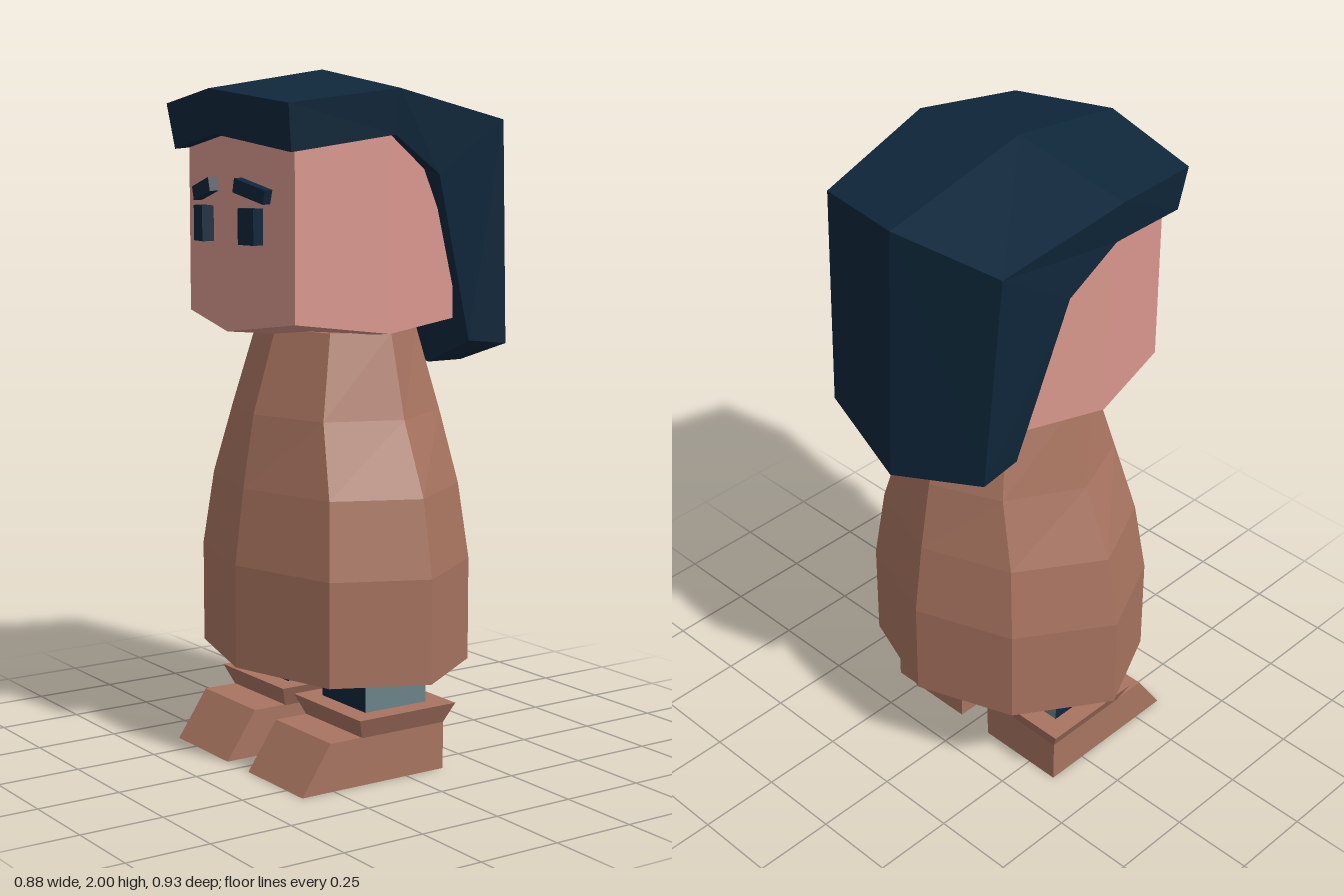
import * as THREE from 'three';

const mat = (name, color, extra = {}) => {
  const m = new THREE.MeshStandardMaterial({ color, ...extra });
  m.name = name;
  return m;
};

// Flat-shaded geometry from polygons of [x, y, z] points, each fanned into triangles
function facets(polys) {
  const pos = [];
  for (const p of polys)
    for (let i = 1; i < p.length - 1; i++) pos.push(...p[0], ...p[i], ...p[i + 1]);
  const g = new THREE.BufferGeometry();
  g.setAttribute('position', new THREE.Float32BufferAttribute(pos, 3));
  g.computeVertexNormals();
  return g;
}

// Closed ring from a half outline running from -x to +x on the +z side
function ring(half) {
  const back = half.filter((p) => p[2] > 0).map(([x, y, z]) => [x, y, -z]).reverse();
  return [...half, ...back];
}

// Skin stacked rings and cap both ends around centre points
function loft(rings, bottom, top) {
  const polys = [], n = rings[0].length, last = rings[rings.length - 1];
  for (let i = 0; i < n; i++) {
    const j = (i + 1) % n;
    for (let k = 0; k + 1 < rings.length; k++)
      polys.push([rings[k][i], rings[k][j], rings[k + 1][j], rings[k + 1][i]]);
    polys.push([bottom, rings[0][j], rings[0][i]], [top, last[i], last[j]]);
  }
  return facets(polys);
}

// Mirror polygons of the +z half across z = 0
const mirrored = (polys) => [
  ...polys,
  ...polys.map((p) => p.map(([x, y, z]) => [x, y, -z]).reverse()),
];

export function createModel() {
  const group = new THREE.Group();
  const brown = mat('brown', 0xa87460);
  const skin = mat('skin', 0xd9978d);
  const navy = mat('navy', 0x0f273b);
  const greyBlue = mat('greyBlue', 0x698388);

  const add = (name, geo, material, parent = group) => {
    const m = new THREE.Mesh(geo, material);
    m.name = name;
    parent.add(m);
    return m;
  };

  // Long coat: eight-sided outline narrowing to the neck
  const outline = [[-0.355, 0], [-0.26, 0.34], [0, 0.463], [0.26, 0.29], [0.368, 0]];
  const levels = [[0.3, 1, 1], [0.6, 1, 1], [0.82, 0.92, 0.91], [1.03, 0.82, 0.71], [1.27, 0.61, 0.57]];
  const coatRings = levels.map(([y, sx, sz]) => ring(outline.map(([x, z]) => [x * sx - 0.01, y, z * sz])));
  add('coat', loft(coatRings, [0, 0.3, 0], [0, 1.27, 0]), brown);

  // Head: corners higher than the middles along the jaw
  const headHalf = [[-0.385, 1.272, 0], [-0.34, 1.31, 0.28], [-0.065, 1.275, 0.335], [0.2, 1.3, 0.27], [0.26, 1.272, 0]];
  const jaw = ring(headHalf);
  const crown = ring(headHalf.map(([x, , z]) => [x, 1.84, z]));
  add('head', loft([jaw, crown], [-0.065, 1.24, 0], [-0.065, 1.86, 0]), skin);

  // Hair: faceted cap with a rim at the front and a curtain down the back
  const peak = [-0.065, 2, 0], under = [-0.065, 1.82, 0];
  const T = [[-0.44, 1.945, 0], [-0.388, 1.905, 0.325], [-0.065, 1.945, 0.38], [0.33, 1.86, 0.33], [0.407, 1.9, 0]];
  const L = [[-0.42, 1.82, 0], [-0.37, 1.775, 0.31], [-0.065, 1.82, 0.36], [0.095, 1.71, 0.345]];
  const inCorner = [0.24, 1.235, 0.295], outCorner = [0.37, 1.22, 0.3];
  const inTip = [0.315, 1.14, 0], outTip = [0.437, 1.14, 0];
  const hair = [];
  for (let i = 0; i < 4; i++) hair.push([peak, T[i], T[i + 1]]);
  for (let i = 0; i < 3; i++) hair.push([T[i], L[i], L[i + 1], T[i + 1]], [under, L[i + 1], L[i]]);
  hair.push(
    [T[3], L[3], inCorner, outCorner],
    [T[3], outCorner, outTip, T[4]],
    [outCorner, inCorner, inTip, outTip],
    [L[3], under, inTip, inCorner],
  );
  add('hair', facets(mirrored(hair)), navy);

  // Eyes and sloping brows on the two front planes of the face
  for (const s of [1, -1]) {
    const side = s > 0 ? 'right' : 'left';
    const eye = add(side + 'Eye', new THREE.BoxGeometry(0.035, 0.1, 0.065), navy);
    eye.position.set(-0.385, 1.57, s * 0.125);
    eye.rotation.y = s * 0.16;
    const brow = add(side + 'Brow', new THREE.BoxGeometry(0.035, 0.04, 0.13), navy);
    brow.position.set(-0.375, 1.667, s * 0.125);
    brow.rotation.set(s * 0.24, s * 0.16, 0);
  }

  // Legs and boots
  const rect = (x0, x1, y, z) => ring([[x0, y, z], [x1, y, z]]);
  for (const s of [1, -1]) {
    const leg = new THREE.Group();
    leg.name = s > 0 ? 'rightLeg' : 'leftLeg';
    leg.position.z = s * 0.2 - 0.01;
    group.add(leg);
    // box faces in the order +x, -x, +y, -y, +z, -z
    const shin = add('shin', new THREE.BoxGeometry(0.21, 0.3, 0.22),
      [greyBlue, navy, greyBlue, greyBlue, greyBlue, navy], leg);
    shin.position.set(-0.015, 0.25, 0);
    add('boot', loft([rect(-0.355, 0.13, 0, 0.142), rect(-0.26, 0.13, 0.14, 0.142)],
      [-0.1, 0, 0], [-0.06, 0.14, 0]), brown, leg);
    add('bootCuff', loft([rect(-0.155, 0.13, 0.138, 0.142), rect(-0.18, 0.153, 0.198, 0.17)],
      [0, 0.138, 0], [0, 0.198, 0]), brown, leg);
  }
  return group;
}
